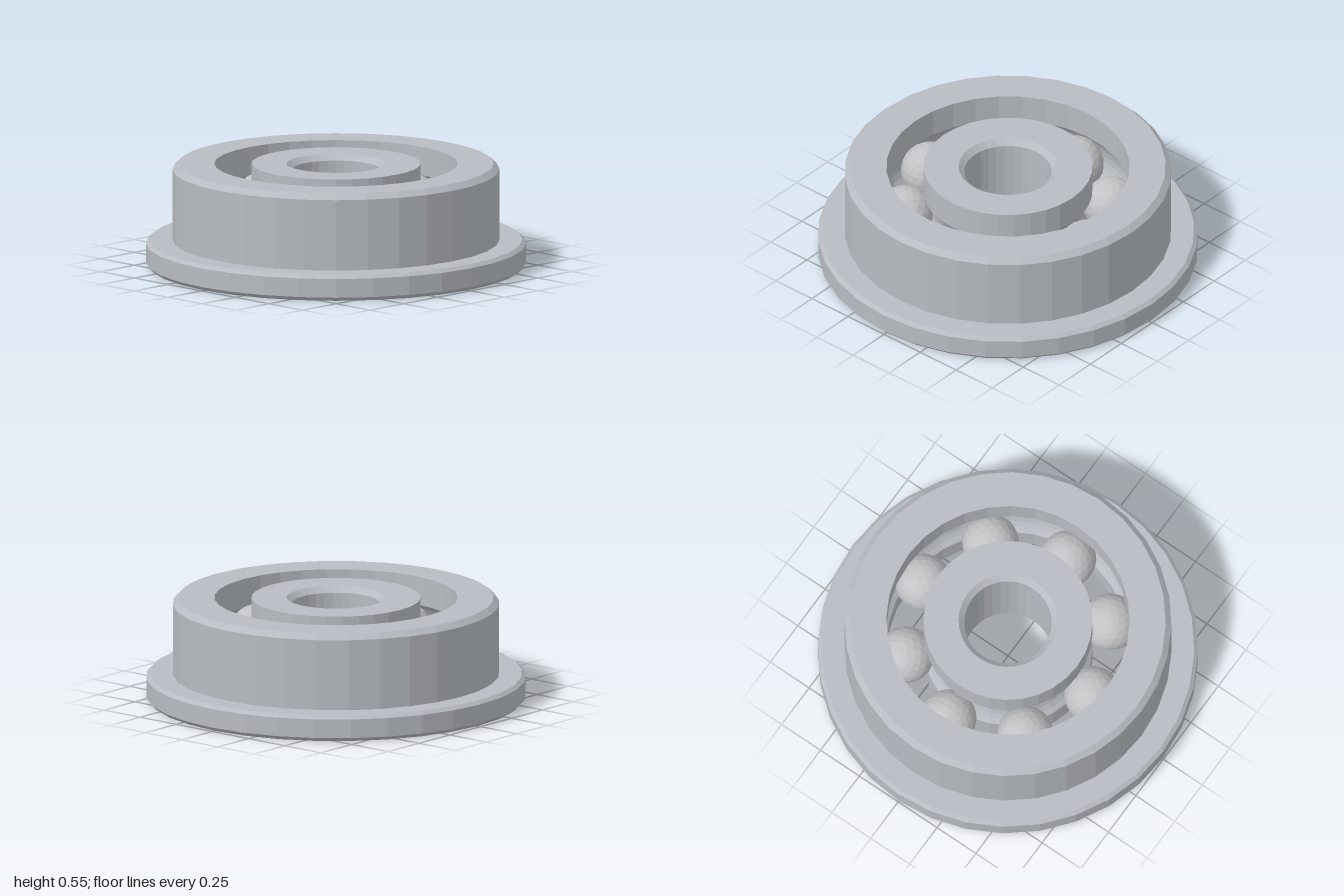
import * as THREE from 'three';

const HEIGHT = 0.545, MID = HEIGHT / 2;
const PITCH = 0.545;      // radius of the circle of ball centres
const BALL_R = 0.15, GROOVE_R = 0.154;
const SIDES = 32;

// Arc of the ball groove cut into a race wall at radius r.
// side = 1 for the outer race (runs downwards), -1 for the inner race (runs upwards)
function groove(r, side, steps = 8) {
  const half = Math.acos(Math.abs(r - PITCH) / GROOVE_R);
  return Array.from({ length: steps + 1 }, (_, i) => {
    const a = half - (2 * half * i) / steps;
    return [PITCH + side * GROOVE_R * Math.cos(a), MID + side * GROOVE_R * Math.sin(a)];
  });
}

// Closed ring turned from an anticlockwise [radius, y] section
function ring(name, section, material) {
  const points = [...section, section[0]].map(([r, y]) => new THREE.Vector2(r, y));
  const geometry = new THREE.LatheGeometry(points, SIDES).toNonIndexed();
  geometry.computeVertexNormals();
  const mesh = new THREE.Mesh(geometry, material);
  mesh.name = name;
  return mesh;
}

export function createModel() {
  const steel = new THREE.MeshStandardMaterial({ color: 0xb8bcc2, flatShading: true });
  steel.name = 'ring steel';
  const ballSteel = new THREE.MeshStandardMaterial({ color: 0xc0c2c4, flatShading: true });
  ballSteel.name = 'ball steel';

  const model = new THREE.Group();
  model.name = 'flangedBallBearing';

  // Outer race with bevelled flange at the base
  model.add(ring('outerRace', [
    [0.64, 0], [0.98, 0], [1, 0.02], [1, 0.12], [0.98, 0.138], [0.86, 0.138],
    [0.86, 0.515], [0.83, HEIGHT], [0.64, HEIGHT], ...groove(0.64, 1),
  ], steel));

  // Inner race with a chamfered bore
  model.add(ring('innerRace', [
    [0.26, 0], [0.445, 0], ...groove(0.445, -1), [0.445, HEIGHT],
    [0.26, HEIGHT], [0.23, HEIGHT - 0.03], [0.23, 0.03],
  ], steel));

  // Eight balls evenly spaced between the races
  const balls = new THREE.Group();
  balls.name = 'balls';
  const ballGeometry = new THREE.IcosahedronGeometry(BALL_R, 3);
  for (let i = 0; i < 8; i++) {
    const a = (i * Math.PI) / 4;
    const ball = new THREE.Mesh(ballGeometry, ballSteel);
    ball.name = `ball${i + 1}`;
    ball.position.set(PITCH * Math.sin(a), MID, PITCH * Math.cos(a));
    ball.rotation.y = a;
    balls.add(ball);
  }
  model.add(balls);
  return model;
}
